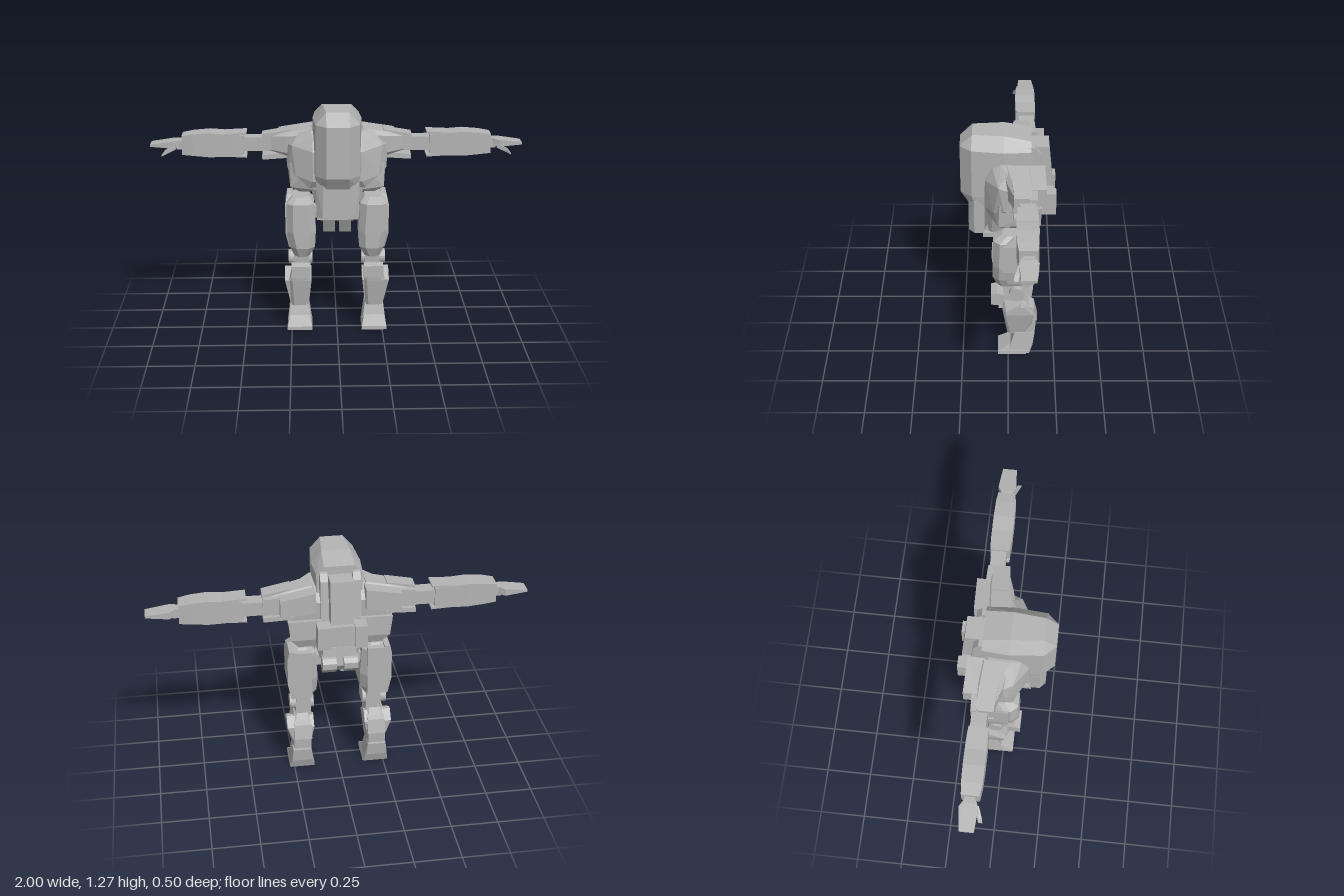
import * as THREE from 'three';
import { ConvexGeometry } from 'three/addons/geometries/ConvexGeometry.js';

export function createModel() {
  const model = new THREE.Group();
  const armour = new THREE.MeshStandardMaterial({ color: 0xb4b4b4 });
  armour.name = 'grey armour';

  const add = (name, geometry) => {
    const mesh = new THREE.Mesh(geometry, armour);
    mesh.name = name;
    model.add(mesh);
    return mesh;
  };

  // Faceted solid through rectangular sections along an axis.
  // Section along y: [y, x0, x1, z0, z1, chamfer]; along x: [x, y0, y1, z0, z1, chamfer].
  const solid = (name, axis, sections, s = 1) => {
    const pts = [];
    for (const [p, a0, a1, b0, b1, c = 0] of sections) {
      const corners = c
        ? [[a0 + c, b0], [a1 - c, b0], [a0 + c, b1], [a1 - c, b1], [a0, b0 + c], [a0, b1 - c], [a1, b0 + c], [a1, b1 - c]]
        : [[a0, b0], [a1, b0], [a0, b1], [a1, b1]];
      for (const [a, b] of corners) {
        pts.push(axis === 'y' ? new THREE.Vector3(s * a, p, b) : new THREE.Vector3(s * p, a, b));
      }
    }
    return add(name, new ConvexGeometry(pts));
  };
  const box = (name, x0, x1, y0, y1, z0, z1, s = 1) =>
    solid(name, 'y', [[y0, x0, x1, z0, z1], [y1, x0, x1, z0, z1]], s);

  // Convex side profile of [z, y] points, swept across x.
  const slab = (name, x0, x1, profile, s = 1) =>
    add(name, new ConvexGeometry(profile.flatMap(([z, y]) =>
      [new THREE.Vector3(s * x0, y, z), new THREE.Vector3(s * x1, y, z)])));

  // Convex hull of free points, mirrored across x.
  const symmetric = (name, pts) =>
    add(name, new ConvexGeometry(pts.flatMap(([x, y, z]) =>
      [new THREE.Vector3(x, y, z), new THREE.Vector3(-x, y, z)])));

  // Hood with its long face plate
  symmetric('hood', [
    [0.06, 1.27, 0.185], [0.075, 1.27, 0.02], [0.08, 1.243, -0.12],
    [0.06, 1.205, 0.25], [0.115, 1.205, 0.19], [0.13, 1.2, 0.02], [0.12, 1.2, -0.12],
    [0.06, 0.93, 0.25], [0.115, 0.93, 0.19], [0.13, 0.93, 0.02], [0.12, 0.93, -0.12],
    [0.06, 0.865, 0.21], [0.11, 0.865, 0.17], [0.12, 0.87, 0.0],
  ]);
  symmetric('facePlate', [
    [0.075, 0.9, 0.21], [0.115, 0.9, 0.18], [0.115, 0.9, 0.125],
    [0.08, 0.705, 0.21], [0.11, 0.7, 0.18], [0.11, 0.7, 0.125],
  ]);
  box('faceSill', -0.11, 0.11, 0.672, 0.7, 0.04, 0.135);

  // Chest
  symmetric('chest', [
    [0.14, 1.135, 0.04], [0.16, 1.125, -0.09], [0.13, 1.11, 0.08], [0.13, 1.04, 0.12],
    [0.2, 1.12, 0.0], [0.24, 1.06, 0.05], [0.27, 1.05, -0.02], [0.27, 1.05, -0.13],
    [0.13, 0.88, 0.125], [0.22, 0.9, 0.075], [0.265, 0.93, 0.02], [0.275, 0.95, -0.15],
    [0.17, 1.06, -0.16], [0.15, 0.84, 0.1],
  ]);
  symmetric('ribs', [
    [0.13, 0.95, 0.115], [0.25, 0.96, 0.045], [0.275, 0.96, -0.17],
    [0.13, 0.83, 0.1], [0.25, 0.83, 0.05], [0.262, 0.85, -0.17],
    [0.2, 0.805, 0.05], [0.22, 0.8, -0.15], [0.1, 0.81, 0.06],
  ]);
  solid('waist', 'y', [[0.69, -0.1, 0.1, -0.12, 0.12, 0.03], [0.83, -0.14, 0.14, -0.13, 0.11, 0.03]]);

  // Pelvis
  slab('pelvis', -0.09, 0.09, [[0.13, 0.7], [0.1, 0.67], [0.0, 0.62], [-0.11, 0.62], [-0.14, 0.66], [-0.13, 0.77], [0.1, 0.77]]);
  box('hipAxle', -0.16, 0.16, 0.64, 0.7, -0.08, 0.0);

  // Backpack
  slab('backpackCore', -0.06, 0.06, [[-0.1, 1.2], [-0.212, 1.198], [-0.235, 0.965], [-0.1, 0.965]]);
  box('backpackLower', -0.075, 0.075, 0.84, 0.95, -0.235, -0.14);

  for (const s of [1, -1]) {
    // Crotch and rear hip blocks
    slab('crotchBlock', 0.012, 0.075, [[0.08, 0.67], [0.03, 0.57], [-0.02, 0.56], [-0.1, 0.6], [-0.1, 0.67]], s);
    slab('rearHipBlock', 0.02, 0.095, [[-0.1, 0.72], [-0.15, 0.712], [-0.17, 0.69], [-0.167, 0.655], [-0.14, 0.625], [-0.1, 0.62]], s);

    // Backpack sides
    box('backpackPod', 0.065, 0.13, 0.83, 0.955, -0.252, -0.15, s);
    slab('backpackFlank', 0.065, 0.105, [[-0.1, 1.22], [-0.14, 1.215], [-0.165, 1.18], [-0.185, 0.97], [-0.1, 0.97]], s);

    // Shoulder
    solid('shoulder', 'x', [
      [0.14, 0.99, 1.135, -0.13, 0.03, 0.025],
      [0.27, 0.985, 1.115, -0.135, 0.0, 0.02],
      [0.39, 1.02, 1.085, -0.12, -0.04],
    ], s);
    solid('shoulderCap', 'x', [[0.25, 1.03, 1.125, -0.11, -0.02], [0.4, 1.01, 1.1, -0.11, -0.03]], s);
    solid('shoulderRearFlap', 'x', [[0.13, 1.02, 1.13, -0.19, -0.1], [0.315, 1.0, 1.1, -0.195, -0.12]], s);
    solid('shoulderRearPlate', 'x', [[0.28, 1.0, 1.1, -0.15, -0.115], [0.4, 1.0, 1.09, -0.147, -0.118]], s);
    solid('shoulderUnderPlate', 'x', [[0.26, 0.972, 1.0, -0.16, -0.02], [0.4, 0.96, 0.985, -0.147, -0.03]], s);

    // Arm
    box('upperArm', 0.36, 0.52, 1.0, 1.075, -0.14, -0.06, s);
    solid('forearm', 'x', [
      [0.5, 0.985, 1.088, -0.148, -0.045],
      [0.56, 0.975, 1.095, -0.15, -0.04],
      [0.68, 0.972, 1.105, -0.15, -0.04],
      [0.77, 0.98, 1.098, -0.148, -0.042],
      [0.83, 0.984, 1.088, -0.142, -0.05],
    ], s);
    solid('elbowUpperLip', 'x', [[0.483, 1.096, 1.106, -0.145, -0.045], [0.6, 1.085, 1.1, -0.147, -0.045]], s);
    solid('elbowLowerLip', 'x', [[0.483, 0.967, 0.977, -0.145, -0.045], [0.6, 0.974, 0.985, -0.147, -0.045]], s);

    // Hand
    box('wrist', 0.82, 0.86, 1.01, 1.06, -0.125, -0.07, s);
    solid('hand', 'x', [
      [0.845, 1.02, 1.06, -0.125, -0.065],
      [0.88, 1.018, 1.055, -0.147, -0.052],
      [1.0, 1.027, 1.04, -0.135, -0.06],
    ], s);
    solid('thumb', 'x', [[0.865, 1.012, 1.035, -0.075, -0.05], [0.92, 0.996, 1.012, -0.05, -0.03], [0.937, 0.982, 0.99, -0.048, -0.026]], s)
      .geometry.computeBoundingSphere();

    // Thigh
    solid('thigh', 'y', [
      [0.765, 0.15, 0.24, -0.1, 0.03, 0.025],
      [0.735, 0.125, 0.272, -0.135, 0.08, 0.035],
      [0.58, 0.115, 0.272, -0.135, 0.083, 0.035],
      [0.49, 0.12, 0.255, -0.12, 0.083, 0.035],
      [0.435, 0.15, 0.232, -0.09, 0.06, 0.025],
    ], s);
    solid('thighOuterPlate', 'y', [[0.765, 0.24, 0.27, -0.145, -0.03], [0.72, 0.25, 0.28, -0.145, 0.03], [0.56, 0.25, 0.28, -0.143, 0.03], [0.47, 0.23, 0.262, -0.14, 0.0]], s);
    solid('thighRearPlate', 'y', [[0.755, 0.15, 0.265, -0.145, -0.1], [0.47, 0.15, 0.255, -0.143, -0.1]], s);

    // Knee
    const joint = new THREE.CylinderGeometry(0.041, 0.041, 0.13, 20);
    joint.rotateZ(Math.PI / 2).translate(s * 0.2, 0.4, -0.045);
    const knee = add('kneeJoint', joint.toNonIndexed());
    knee.geometry.computeVertexNormals();
    solid('kneeLink', 'y', [[0.46, 0.155, 0.23, -0.09, 0.03], [0.3, 0.15, 0.24, -0.09, 0.02]], s);
    slab('kneePad', 0.145, 0.25, [[0.06, 0.4], [0.093, 0.39], [0.093, 0.325], [0.03, 0.32], [0.02, 0.39]], s);

    // Lower leg
    solid('shin', 'y', [
      [0.345, 0.155, 0.245, -0.09, 0.035, 0.015],
      [0.28, 0.145, 0.265, -0.13, 0.03, 0.02],
      [0.2, 0.15, 0.262, -0.13, 0.015, 0.02],
      [0.128, 0.16, 0.252, -0.1, 0.005, 0.015],
    ], s);
    for (const [name, a, b] of [['outerCalfPlate', 0.24, 0.287], ['innerCalfPlate', 0.14, 0.17]]) {
      const [hi, lo] = a > 0.2 ? [[a, b], [a, b - 0.03]] : [[a, b], [a + 0.015, b]];
      solid(name, 'y', [[0.33, ...hi, -0.09, -0.07], [0.28, ...hi, -0.135, 0.015], [0.2, ...lo, -0.13, -0.01], [0.14, ...lo, -0.09, -0.01]], s);
    }
    slab('calf', 0.155, 0.25, [[-0.08, 0.325], [-0.14, 0.295], [-0.158, 0.215], [-0.12, 0.21], [-0.08, 0.23]], s);
    slab('ankleGuard', 0.16, 0.252, [[-0.09, 0.22], [-0.15, 0.21], [-0.147, 0.15], [-0.11, 0.13], [-0.08, 0.14]], s);

    // Foot
    solid('ankle', 'y', [
      [0.137, 0.158, 0.258, -0.145, -0.035],
      [0.06, 0.153, 0.263, -0.135, -0.012],
      [0.005, 0.138, 0.275, -0.115, 0.0],
    ], s);
    solid('toe', 'y', [
      [0.0, 0.136, 0.276, -0.1, 0.056],
      [0.02, 0.138, 0.274, -0.1, 0.056],
      [0.062, 0.152, 0.262, -0.1, -0.012],
    ], s);
  }

  return model;
}
